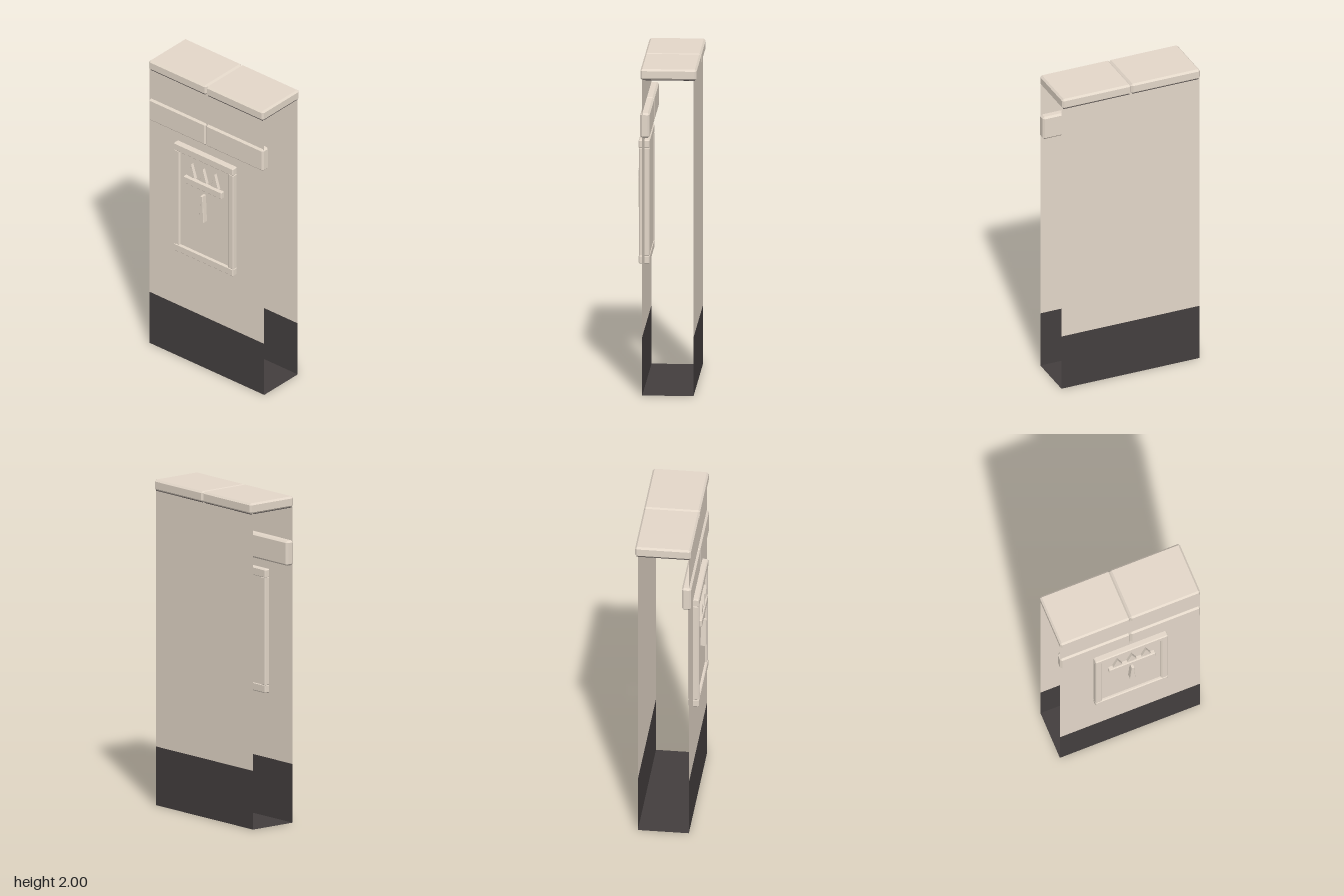
import * as THREE from 'three';
import { ConvexGeometry } from 'three/addons/geometries/ConvexGeometry.js';

const W = 0.453, FRONT = 0.137, BACK = -0.171, SPLIT = 0.36, TOP = 1.94, PANEL = 0.156;

// Box with chamfered edges, given by its minimum and maximum corners
function chamferBox(x0, x1, y0, y1, z0, z1, c) {
  const hx = (x1 - x0) / 2, hy = (y1 - y0) / 2, hz = (z1 - z0) / 2;
  const pts = [];
  for (const i of [-1, 1]) for (const j of [-1, 1]) for (const k of [-1, 1]) {
    pts.push(
      new THREE.Vector3(i * hx, j * (hy - c), k * (hz - c)),
      new THREE.Vector3(i * (hx - c), j * hy, k * (hz - c)),
      new THREE.Vector3(i * (hx - c), j * (hy - c), k * hz));
  }
  return new ConvexGeometry(pts).translate((x0 + x1) / 2, (y0 + y1) / 2, (z0 + z1) / 2);
}

// Flat outline extruded from z0 to z1 with slightly chamfered edges
function prism(points, z0, z1) {
  const b = 0.003;
  const shape = new THREE.Shape(points.map(([x, y]) => new THREE.Vector2(x, y)));
  return new THREE.ExtrudeGeometry(shape, {
    depth: z1 - z0 - 2 * b, bevelThickness: b, bevelSize: b, bevelOffset: -b, bevelSegments: 1,
  }).translate(0, 0, z0 + b);
}

export function createModel() {
  const stone = new THREE.MeshStandardMaterial({ color: 0xe3d7c9, side: THREE.DoubleSide });
  stone.name = 'stone';
  const darkBase = new THREE.MeshStandardMaterial({ color: 0x433e3e, side: THREE.DoubleSide });
  darkBase.name = 'dark base';

  const group = new THREE.Group();
  group.name = 'wallSegment';
  const add = (name, geometry, material = stone, parent = group) => {
    const mesh = new THREE.Mesh(geometry, material);
    mesh.name = name;
    parent.add(mesh);
  };

  // Front and back wall sheets, each with a dark skirting; the ends are open
  for (const [side, z, turn] of [['front', FRONT, 0], ['back', BACK, Math.PI]]) {
    const sheet = (y0, y1) => new THREE.PlaneGeometry(2 * W, y1 - y0).rotateY(turn).translate(0, (y0 + y1) / 2, z);
    add(side + 'Wall', sheet(SPLIT, TOP));
    add(side + 'Skirting', sheet(0, SPLIT), darkBase);
  }
  add('floor', new THREE.PlaneGeometry(2 * W, FRONT - BACK).rotateX(Math.PI / 2)
    .translate(0, 0, (FRONT + BACK) / 2), darkBase);

  // Coping with a dark underside, and front band, each made of two blocks
  for (const [side, x0, x1] of [['right', -W, 0], ['left', 0, W]]) {
    add(side + 'Coping', chamferBox(x0, x1, 1.934, 2, -0.189, 0.149, 0.011));
    add(side + 'CopingUnderside', new THREE.BoxGeometry(W - 0.02, 0.004, 0.318)
      .translate((x0 + x1) / 2, 1.9335, -0.02), darkBase);
    add(side + 'Band', chamferBox(x0, x1, 1.578, 1.73, 0.093, 0.15, 0.011));
  }

  // Framed panel on the front
  const frame = new THREE.Group();
  frame.name = 'frame';
  group.add(frame);
  add('panel', new THREE.BoxGeometry(0.4, 0.67, PANEL - 0.11).translate(0, 1.14, (PANEL + 0.11) / 2), stone, frame);
  add('topRail', chamferBox(-0.235, 0.235, 1.467, 1.52, 0.106, 0.172, 0.006), stone, frame);
  add('bottomRail', chamferBox(-0.235, 0.235, 0.76, 0.812, 0.106, 0.172, 0.006), stone, frame);
  for (const s of [-1, 1]) {
    const x = s * 0.213;
    add(s < 0 ? 'rightStile' : 'leftStile',
      chamferBox(x - 0.022, x + 0.022, 0.806, 1.473, 0.106, 0.17, 0.006), stone, frame);
  }

  // Relief: three points above a bar and a tapered shaft
  const relief = new THREE.Group();
  relief.name = 'relief';
  group.add(relief);
  for (const x of [-0.092, 0, 0.092]) {
    add('reliefPoint', prism([[x - 0.03, 1.332], [x + 0.03, 1.332], [x, 1.425]], PANEL - 0.006, 0.175), stone, relief);
  }
  add('reliefBar', chamferBox(-0.15, 0.15, 1.275, 1.322, PANEL - 0.006, 0.18, 0.004), stone, relief);
  add('reliefShaft', prism([[-0.019, 1.06], [0.017, 1.06], [0.008, 1.24], [-0.008, 1.24]], PANEL - 0.006, 0.188),
    stone, relief);

  return group;
}
